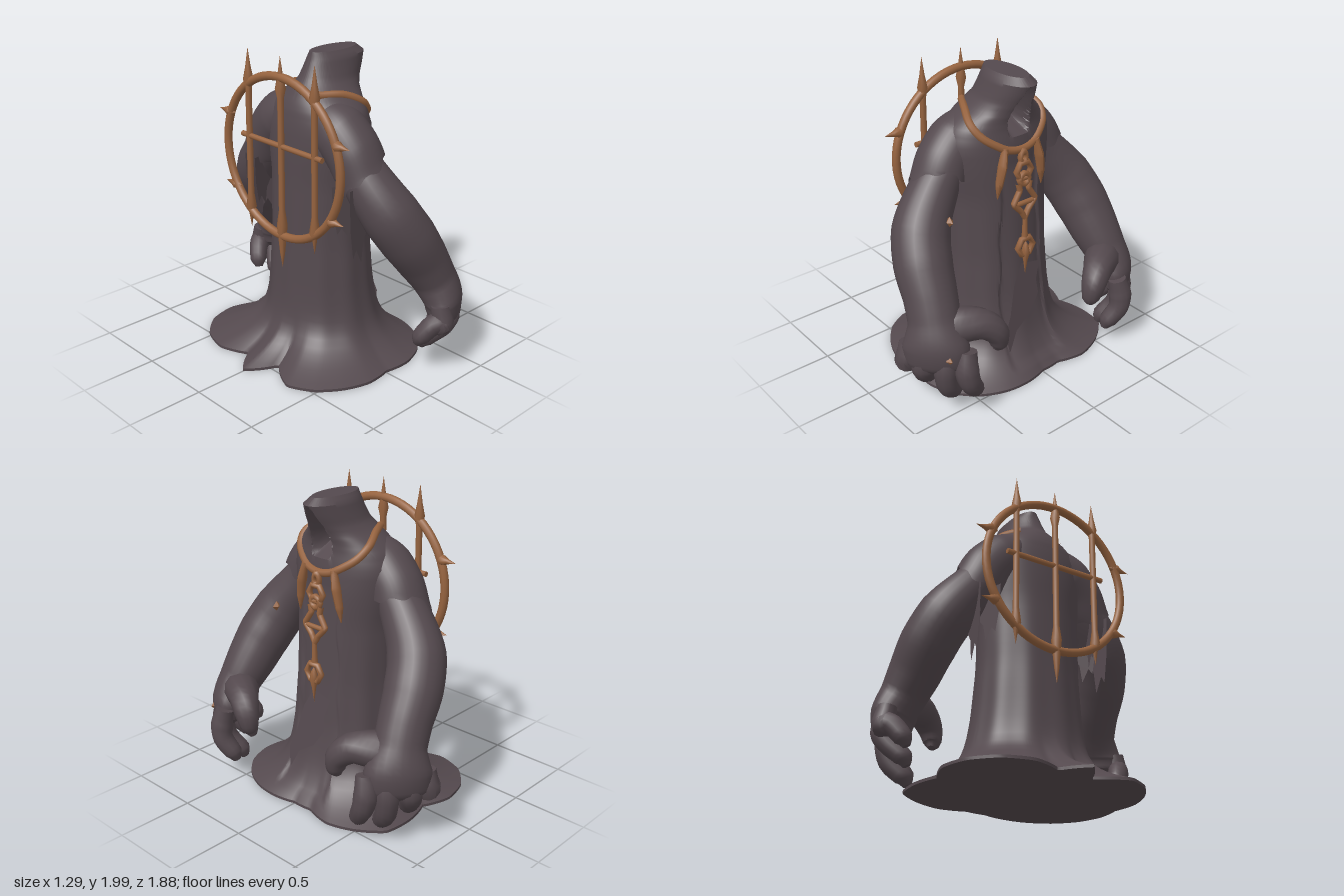
import * as THREE from 'three';
import { toCreasedNormals } from 'three/addons/utils/BufferGeometryUtils.js';

const cloth = new THREE.MeshStandardMaterial({ color: 0x54494e, side: THREE.DoubleSide });
cloth.name = 'dark cloth';
const bronze = new THREE.MeshStandardMaterial({ color: 0x96633f });
bronze.name = 'bronze';
const V = (x, y, z) => new THREE.Vector3(x, y, z);
const { lerp, clamp, degToRad } = THREE.MathUtils;

// Piecewise linear lookup of a row in a table sorted by its first column
function row(table, t) {
  let i = 0;
  while (i < table.length - 2 && t > table[i + 1][0]) i++;
  const a = table[i], b = table[i + 1];
  const k = clamp((t - a[0]) / (b[0] - a[0]), 0, 1);
  return a.map((v, c) => lerp(v, b[c], k));
}

// Skin over closed rings of points, with optional end caps
function skin(rings, capped, crease = 0.8) {
  const n = rings[0].length, pos = [], idx = [];
  rings.forEach(r => r.forEach(p => pos.push(p.x, p.y, p.z)));
  for (let i = 0; i < rings.length - 1; i++) {
    for (let j = 0; j < n; j++) {
      const k = (j + 1) % n, a = i * n + j, b = i * n + k;
      idx.push(a, a + n, b + n, a, b + n, b);
    }
  }
  const cap = (r, flip) => {
    const c = rings[r].reduce((s, p) => s.add(p), V(0, 0, 0)).divideScalar(n), o = pos.length / 3;
    pos.push(c.x, c.y, c.z);
    for (let j = 0; j < n; j++) {
      const a = r * n + j, b = r * n + (j + 1) % n;
      if (flip) idx.push(o, a, b); else idx.push(o, b, a);
    }
  };
  if (capped) {
    cap(0, true);
    cap(rings.length - 1, false);
  }
  const g = new THREE.BufferGeometry();
  g.setAttribute('position', new THREE.Float32BufferAttribute(pos, 3));
  g.setIndex(idx);
  return toCreasedNormals(g, crease);
}

// Limb along control points [x, y, z, width along the wide axis, width across]
function limb(pts, { steps = 24, sides = 16, rag = 0, slant = 0, caps = true, wide = V(1, 0, 0) } = {}) {
  const curve = new THREE.CatmullRomCurve3(pts.map(p => V(p[0], p[1], p[2])));
  const sizes = pts.map((p, i) => [i / (pts.length - 1), p[3], p[4] ?? p[3]]);
  const rings = [];
  for (let i = 0; i <= steps; i++) {
    const t = i / steps, c = curve.getPoint(t), d = curve.getTangent(t);
    const u = wide.clone().addScaledVector(d, -d.dot(wide)).normalize();
    const v = u.clone().cross(d), [, ru, rv] = row(sizes, t), ring = [];
    for (let j = 0; j < sides; j++) {
      const a = j / sides * Math.PI * 2;
      const p = c.clone().addScaledVector(u, Math.cos(a) * ru).addScaledVector(v, Math.sin(a) * rv);
      p.addScaledVector(d, -slant * t * Math.cos(a));
      if (i === steps) p.addScaledVector(d, rag * (Math.sin(a * 3) + Math.sin(a * 7 + 1)));
      ring.push(p);
    }
    rings.push(ring);
  }
  return skin(rings, caps);
}

// Robe silhouette: height, back x, front x, half width
const ROBE = [
  [0, -0.30, 0.43, 0.40], [0.3, -0.29, 0.38, 0.385], [0.5, -0.275, 0.345, 0.36], [0.8, -0.26, 0.32, 0.34],
  [1.2, -0.25, 0.30, 0.34], [1.4, -0.25, 0.29, 0.37], [1.55, -0.24, 0.275, 0.38], [1.65, -0.22, 0.26, 0.335],
  [1.70, -0.20, 0.265, 0.28], [1.76, -0.165, 0.29, 0.20], [1.81, -0.12, 0.32, 0.155],
  [1.87, -0.09, 0.35, 0.135], [1.94, -0.06, 0.375, 0.115], [1.98, -0.05, 0.32, 0.08],
];
// Hem radius every 15 degrees, from the front towards +z
const HEM = [.53, .58, .63, .67, .69, .68, .64, .68, .69, .69, .66, .47, .65, .51, .66, .73, .75, .72, .63, .70, .76, .71, .65, .54]
  .map((r, i) => [i * 15, r]);
HEM.push([360, 0.53]);

function robePoint(a, y, carve = true) {
  const [, back, front, half] = row(ROBE, y);
  const ca = Math.cos(a), sa = Math.sin(a);
  const fold = 1 + 0.012 * Math.sin(a * 11) * clamp((1.4 - y) / 0.8, 0, 1);
  let x = (back + front) / 2 + (front - back) / 2 * ca * fold, z = half * sa * fold;
  const w = Math.pow(clamp(1 - (y - 0.03) / 0.42, 0, 1), 3.8);
  const r = row(HEM, ((a * 180 / Math.PI) % 360 + 360) % 360)[1];
  x = lerp(x, r * ca, w);
  z = lerp(z, r * sa, w);
  if (carve && ca > 0) {
    // Hood opening, then the gap between the two robe edges
    const open = y > 1.6 ? 0.08 * Math.sqrt(clamp((1.93 - y) / 0.2, 0, 1)) : 0;
    x -= 0.15 * clamp((open - Math.abs(z)) / 0.03, 0, 1) * clamp((y - 1.6) / 0.08, 0, 1);
    const gap = 0.16 + 0.04 * (1 - y) + 0.008 * Math.sin(y * 15);
    if (y > 0.08 && y < 1.46) x -= 0.018 * clamp((gap - Math.abs(z)) / 0.02, 0, 1);
  }
  return V(x, y, z);
}

function robeGeometry() {
  const heights = [0.012, 0.03, 0.045, 0.06, 0.08, 0.1, 0.13, 0.16, 0.2, 0.25, 0.3];
  for (let y = 0.36; y < 1.6; y += 0.06) heights.push(y);
  for (let y = 1.6; y < 1.975; y += 0.02) heights.push(y);
  heights.push(1.98);
  const n = 160;
  return skin(heights.map(y => Array.from({ length: n }, (_, j) => robePoint(j / n * Math.PI * 2, y))), true, 0.6);
}

export function createModel() {
  const model = new THREE.Group();
  const add = (name, geo, mat, parent = model) => {
    const m = new THREE.Mesh(geo, mat);
    m.name = name;
    parent.add(m);
    return m;
  };
  const group = name => {
    const g = new THREE.Group();
    g.name = name;
    model.add(g);
    return g;
  };

  add('robeAndHood', robeGeometry(), cloth);

  // Torn flap down the front of the robe
  const flap = new THREE.Shape([[-0.13, 0.72], [-0.09, 0.6], [-0.1, 0.5], [-0.02, 0.38], [0.1, 0.3], [0.17, 0.16], [0.19, 0.3], [0.14, 0.42], [0.09, 0.62], [0.02, 0.75]]
    .map(p => new THREE.Vector2(-p[0], p[1])));
  const flapMesh = add('tornFlap', new THREE.ShapeGeometry(flap), cloth);
  flapMesh.rotation.order = 'YXZ';
  flapMesh.rotation.set(-0.13, Math.PI / 2, 0);
  flapMesh.position.x = 0.418;

  // Arms, mirrored, with the hands turned halfway to the front
  for (const s of [1, -1]) {
    const arm = group(s > 0 ? 'leftSideArm' : 'rightSideArm');
    const wide = V(0.77, 0, -0.64 * s);
    const part = (name, pts, opt) =>
      add(name, limb(pts.map(([x, y, z, ...r]) => [x, y, z * s, ...r]), opt), cloth, arm);
    part('sleeve', [[-0.04, 1.59, 0.14, 0.15], [-0.04, 1.53, 0.24, 0.175], [-0.03, 1.43, 0.34, 0.175], [-0.015, 1.31, 0.41, 0.175, 0.165]],
      { rag: 0.014, slant: 0.07, sides: 40, caps: false });
    part('armAndPalm', [[-0.03, 1.42, 0.32, 0.13], [-0.01, 1.26, 0.45, 0.155], [0.05, 1.07, 0.585, 0.18], [0.15, 0.9, 0.65, 0.18],
      [0.255, 0.74, 0.68, 0.165], [0.33, 0.61, 0.71, 0.16, 0.145], [0.385, 0.48, 0.745, 0.21, 0.13],
      [0.39, 0.38, 0.75, 0.20, 0.11], [0.385, 0.32, 0.74, 0.11, 0.05]], { steps: 40, sides: 24, wide });
    // Fingers: knuckle x, z, then tip x, y, z
    [[0.25, 0.845, 0.15, 0.23, 0.78], [0.36, 0.80, 0.26, 0.15, 0.72], [0.465, 0.72, 0.41, 0.08, 0.64], [0.545, 0.63, 0.54, 0.13, 0.57]]
      .forEach(([x, z, tx, ty, tz]) => part('finger', [
        [x, 0.48, z, 0.06], [lerp(x, tx, 0.2) + 0.02, 0.36, z + 0.02, 0.076],
        [lerp(x, tx, 0.6) + 0.03, ty + 0.14, lerp(z, tz, 0.35) + 0.025, 0.068],
        [tx, ty + 0.04, tz, 0.058], [tx - 0.01, ty - 0.01, tz - 0.02, 0.025]], { sides: 12, steps: 16, wide }));
    part('thumb', [[0.35, 0.56, 0.70, 0.12], [0.43, 0.59, 0.59, 0.115], [0.505, 0.585, 0.48, 0.095],
      [0.545, 0.52, 0.41, 0.08], [0.545, 0.43, 0.39, 0.058], [0.535, 0.39, 0.40, 0.025]], { sides: 12, steps: 20 });

    // Rags hanging under the sleeve
    [[-0.1, 0.47, 0.1, 0.5], [-0.04, 0.41, 0.35, 0.42], [-0.13, 0.38, -0.3, 0.35]].forEach(([x, z, turn, len]) => {
      const rag = new THREE.Shape([[-0.09, 0], [0.1, 0], [0.08, -0.3 * len], [0.1, -0.55 * len], [0.05, -0.7 * len], [0.03, -len],
        [-0.02, -0.8 * len], [-0.05, -0.9 * len], [-0.08, -0.5 * len]].map(p => new THREE.Vector2(...p)));
      const m = add('sleeveRag', new THREE.ShapeGeometry(rag), cloth, arm);
      m.position.set(x, 1.25, z * s);
      m.rotation.y = turn * s;
    });
  }

  // Small bronze flecks on the skin
  [[0.195, 1.15, 0.48], [0.53, 0.46, 0.755], [0.22, 1.06, -0.58], [0.235, 1.02, -0.6]].forEach(([x, y, z]) => {
    const m = add('fleck', new THREE.OctahedronGeometry(0.034), bronze);
    m.scale.z = 0.7;
    m.position.set(x, y, z);
  });

  // Wheel behind the back with spiked bars
  const halo = group('backWheel');
  halo.position.set(-0.3, 1.36, 0);
  const ring = add('wheelRing', new THREE.TorusGeometry(0.51, 0.027, 10, 64), bronze, halo);
  ring.rotation.y = Math.PI / 2;
  const spike = (r, h) => new THREE.LatheGeometry([[0, -h * 0.5], [r * 0.6, -h * 0.35], [r, -h * 0.12], [r * 0.5, h * 0.15], [0, h * 0.6]]
    .map(p => new THREE.Vector2(...p)), 8);
  for (const [z, bottom, bulge] of [[-0.295, 0.82, 0.14], [0, 0.63, 0.29], [0.295, 0.82, 0.14]]) {
    const profile = [[0, bottom], [0.016, bottom + 0.1], [0.034, bottom + bulge], [0.02, bottom + bulge + 0.1], [0.02, 1.74], [0.033, 1.8], [0.017, 1.88], [0, 2]];
    add('wheelBar', new THREE.LatheGeometry(profile.map(([r, y]) => new THREE.Vector2(r, y - 1.36)), 8), bronze, halo).position.z = z;
  }
  const cross = add('wheelCrossbar', new THREE.CylinderGeometry(0.018, 0.018, 0.72, 8), bronze, halo);
  cross.rotation.x = Math.PI / 2;
  cross.position.y = 0.08;
  for (const deg of [22, -32, 158, 212]) {
    const a = degToRad(deg), m = add('wheelSpike', spike(0.035, 0.14), bronze, halo);
    m.position.set(0, 0.53 * Math.sin(a), 0.54 * Math.cos(a));
    m.rotation.x = Math.PI / 2 * Math.sign(Math.cos(a));
  }

  // Collar lying on the shoulders
  const jewels = group('necklace');
  const collar = [[140, 1.75], [100, 1.745], [65, 1.69], [43, 1.625], [25, 1.565], [14, 1.53]];
  const path = [...collar, [0, 1.515], ...collar.map(([d, y]) => [-d, y]).reverse()]
    .map(([d, y]) => robePoint(degToRad(d), y, false));
  add('collar', new THREE.TubeGeometry(new THREE.CatmullRomCurve3(path), 80, 0.025, 8), bronze, jewels);

  // Chest pendants and chain
  const chestX = y => robePoint(0, y, false).x + 0.016;
  for (const s of [1, -1]) {
    add('collarTooth', limb([[0.275, 1.55, 0.12 * s, 0.02], [0.28, 1.44, 0.145 * s, 0.035, 0.026], [0.275, 1.32, 0.165 * s, 0.024],
      [0.27, 1.23, 0.175 * s, 0.003]], { sides: 8 }), bronze, jewels);
  }
  const link = (y, r, sides, sx = 1, sy = 1) => {
    const m = add('chainLink', new THREE.TorusGeometry(r, 0.02, 8, sides), bronze, jewels);
    m.position.set(chestX(y), y, 0);
    m.rotation.y = Math.PI / 2;
    m.scale.set(sx, sy, 1);
  };
  link(1.47, 0.032, 10, 0.7, 1.2);
  link(1.385, 0.058, 6);
  link(1.33, 0.036, 8);
  link(0.87, 0.062, 6);
  const frame = [[0.045, 1.31], [0.035, 1.26], [0.085, 1.18], [0.03, 1.12], [0, 1.07]];
  for (const s of [1, -1]) {
    const c = new THREE.CatmullRomCurve3(frame.map(([z, y]) => V(chestX(y), y, z * s)), false, 'catmullrom', 0.1);
    add('pendantFrame', new THREE.TubeGeometry(c, 24, 0.019, 8), bronze, jewels);
  }
  const bar = add('pendantBar', new THREE.CylinderGeometry(0.016, 0.016, 0.15, 8), bronze, jewels);
  bar.rotation.x = Math.PI / 2;
  bar.position.set(chestX(1.17), 1.17, 0);
  add('chainRod', new THREE.CylinderGeometry(0.014, 0.02, 0.15, 8), bronze, jewels).position.set(chestX(1), 1.0, 0);
  const drop = add('pendantDrop', spike(0.028, 0.22), bronze, jewels);
  drop.rotation.x = Math.PI;
  drop.position.set(chestX(0.8), 0.8, 0);
  return model;
}
